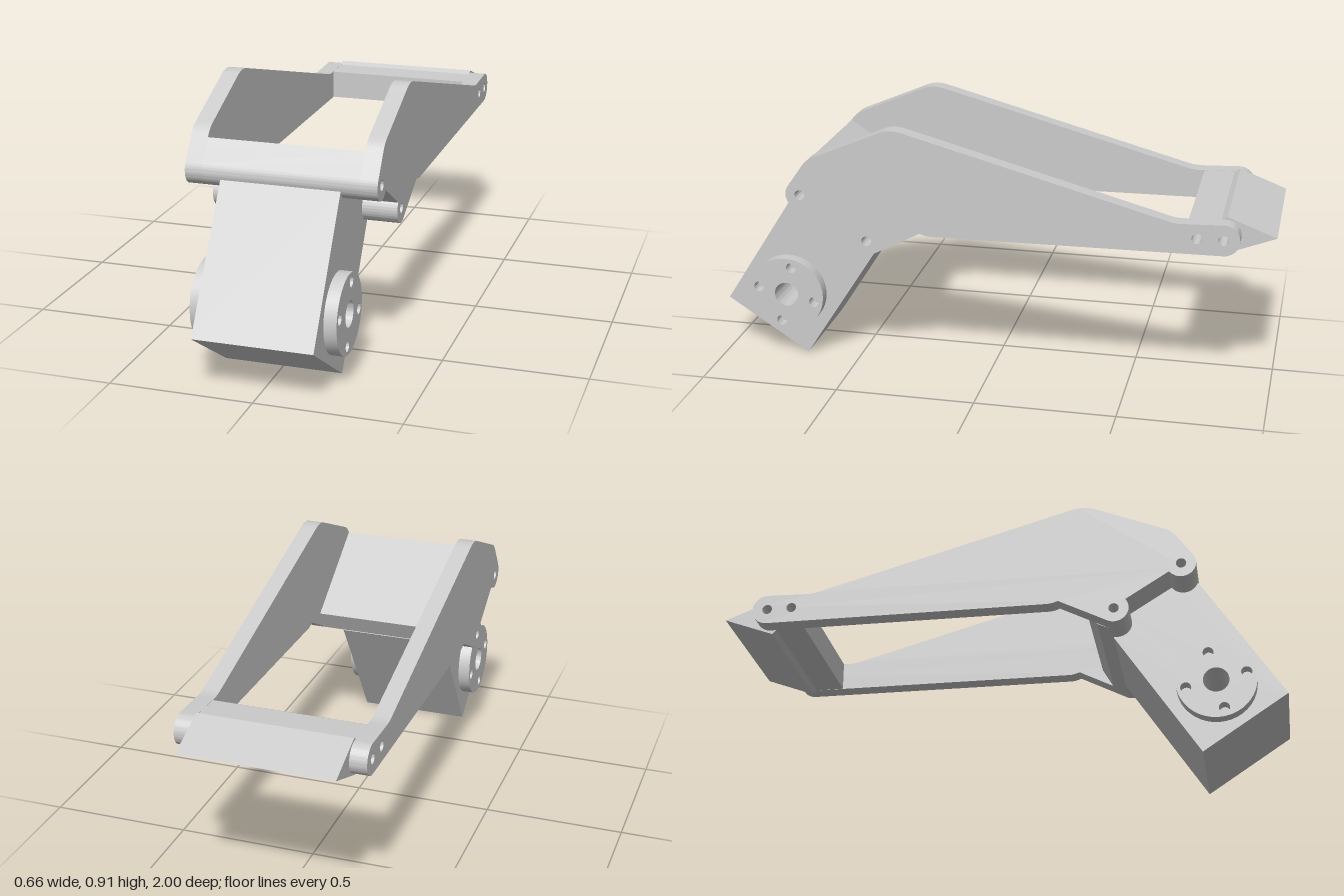
import * as THREE from 'three';
import { toCreasedNormals } from 'three/addons/utils/BufferGeometryUtils.js';

const rad = THREE.MathUtils.degToRad;
const material = new THREE.MeshStandardMaterial({ color: 0xcccccc });

// Pivot centres in side profile, as [z, y]
const upperPin = [0.665, 0.66], lowerPin = [0.425, 0.505];
const innerTail = [-0.735, 0.605], outerTail = [-0.825, 0.605];
const hub = [0.76, 0.243];
const pinR = 0.018, lugR = 0.052;

function addHoles(shape, centres, r) {
  for (const [z, y] of centres) shape.holes.push(new THREE.Path().absarc(z, y, r, 0, Math.PI * 2, true));
  return shape;
}

// Extrude a (z, y) profile across x, centred on the given x
function slab(name, shape, width, x = 0) {
  const geo = new THREE.ExtrudeGeometry(shape, { depth: width, bevelEnabled: false, curveSegments: 20 });
  geo.translate(0, 0, -width / 2).rotateY(-Math.PI / 2).translate(x, 0, 0);
  const mesh = new THREE.Mesh(toCreasedNormals(geo, rad(25)), material);
  mesh.name = name;
  return mesh;
}

// Two round lugs with the straight underside between them
function traceLugs(shape) {
  shape.absarc(...lowerPin, lugR, rad(-113), rad(37), false);
  shape.absarc(...upperPin, lugR, rad(-146), rad(33), false);
}

function armShape() {
  const s = new THREE.Shape();
  s.moveTo(0.19, 0.54);
  s.quadraticCurveTo(0.21, 0.54, 0.23, 0.549);
  traceLugs(s);
  s.lineTo(0.655, 0.765);
  s.quadraticCurveTo(0.637, 0.793, 0.605, 0.805);
  s.lineTo(0.37, 0.905);
  s.quadraticCurveTo(0.33, 0.923, 0.28, 0.908);
  s.lineTo(-0.63, 0.662);
  s.quadraticCurveTo(-0.66, 0.653, -0.69, 0.655);
  s.lineTo(-0.825, 0.66);
  s.absarc(...outerTail, 0.055, rad(90), rad(270), false);
  s.closePath();
  return addHoles(s, [upperPin, lowerPin, innerTail, outerTail], pinR);
}

function crossPlateShape() {
  const s = new THREE.Shape();
  s.moveTo(0.32, 0.55);
  s.lineTo(0.36, 0.478);
  traceLugs(s);
  s.lineTo(0.655, 0.765);
  s.closePath();
  return addHoles(s, [upperPin, lowerPin], pinR);
}

const polygon = (points) => new THREE.Shape(points.map(([z, y]) => new THREE.Vector2(z, y)));

export function createModel() {
  const model = new THREE.Group();
  model.name = 'pivotingBracket';

  // Inclined plate joining the arms at the front
  model.add(slab('frontCrossPlate', crossPlateShape(), 0.54));

  // Bar joining the tails, and its pointed blade
  const bar = polygon([[-0.7, 0.655], [-0.81, 0.658], [-0.83, 0.67], [-1, 0.605],
    [-0.82, 0.535], [-0.805, 0.55], [-0.7, 0.55]]);
  model.add(slab('rearBarAndBlade', addHoles(bar, [innerTail, outerTail], pinR), 0.54));

  // Slanted block, stepped at the top to clear the pins
  const block = polygon([[1, 0.195], [0.715, 0.642], [0.665, 0.615], [0.615, 0.632],
    [0.465, 0.54], [0.465, 0.488], [0.41, 0.452], [0.7, 0]]);
  model.add(slab('mountingBlock', addHoles(block, [hub], 0.045), 0.413));

  // Arms and drilled hub discs on both sides
  for (const [side, sign] of [['left', 1], ['right', -1]]) {
    model.add(slab(side + 'Arm', armShape(), 0.06, sign * 0.3));

    const disc = new THREE.Shape().absarc(...hub, 0.139, 0, Math.PI * 2, false);
    addHoles(disc, [hub], 0.045);
    const bolts = [0, 1, 2, 3].map((i) => {
      const a = rad(12 + i * 90);
      return [hub[0] + 0.107 * Math.cos(a), hub[1] + 0.107 * Math.sin(a)];
    });
    addHoles(disc, bolts, 0.019);
    model.add(slab(side + 'HubDisc', disc, 0.045, sign * 0.228));
  }
  return model;
}
